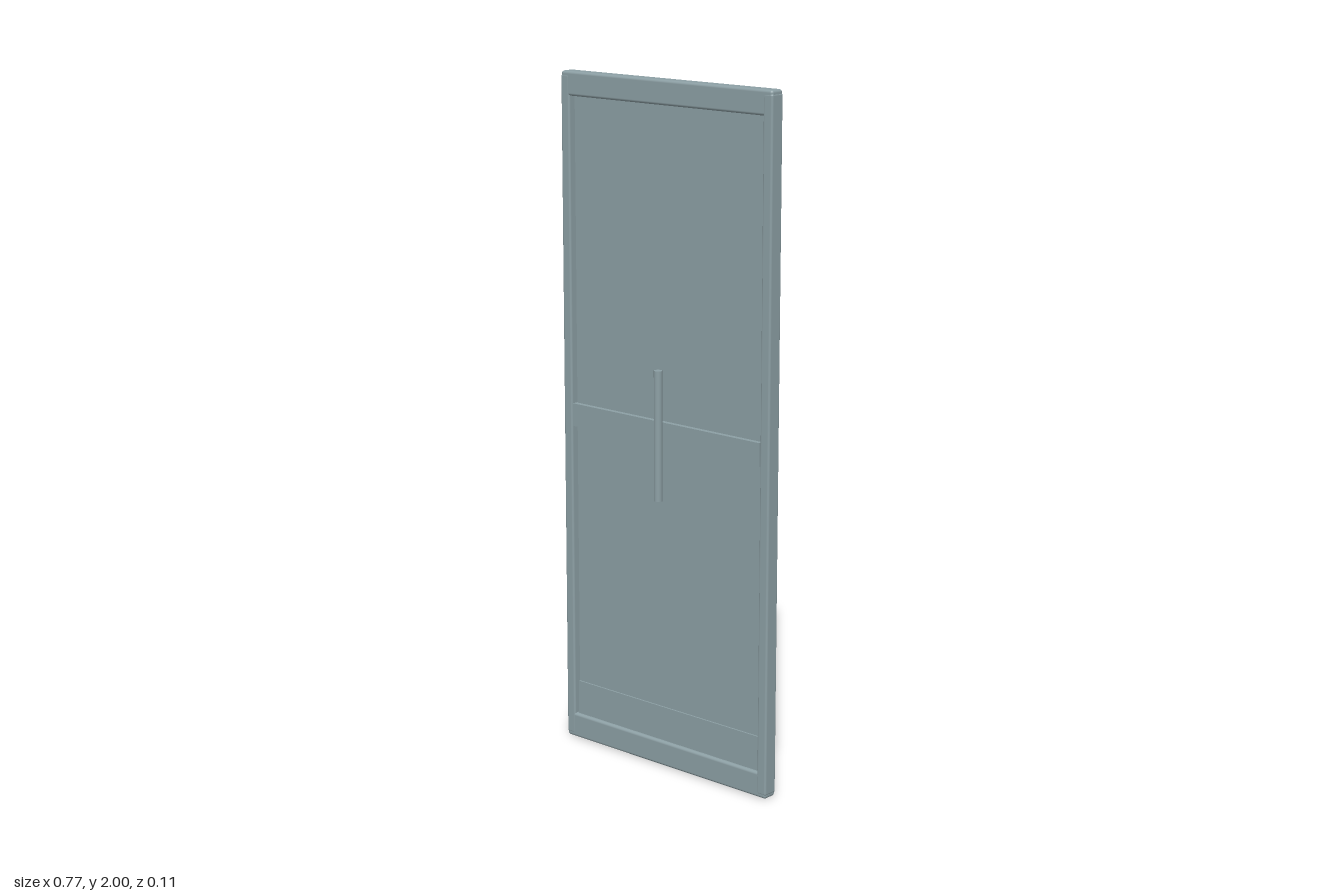
import * as THREE from 'three';
import { RoundedBoxGeometry } from 'three/addons/geometries/RoundedBoxGeometry.js';

export function createModel() {
  const model = new THREE.Group();
  model.name = 'door';
  const greyBlue = new THREE.MeshStandardMaterial({ color: 0x8c9fa4 });
  greyBlue.name = 'greyBlue';

  function add(name, geometry, x, y, z) {
    const mesh = new THREE.Mesh(geometry, greyBlue);
    mesh.name = name;
    mesh.position.set(x, y, z);
    model.add(mesh);
  }

  // Outer frame: two slim stiles, with deeper rails at top and bottom
  for (const [side, s] of [['left', 1], ['right', -1]]) {
    add(side + 'Stile', new RoundedBoxGeometry(0.032, 1.98, 0.046, 3, 0.006), s * 0.371, 1, 0);
  }
  add('topRail', new RoundedBoxGeometry(0.772, 0.07, 0.045, 3, 0.008), 0, 1.965, 0);
  add('bottomRail', new RoundedBoxGeometry(0.772, 0.075, 0.045, 3, 0.008), 0, 0.0375, 0);

  // Recessed panel, leaving a hairline gap beside each stile
  add('panel', new THREE.BoxGeometry(0.696, 1.875, 0.014), 0, 1.0, 0);

  // Middle rail on the front only
  add('middleRail', new THREE.BoxGeometry(0.704, 0.068, 0.018), 0, 1.002, 0.013);

  // Kick plates and pull bars on both faces
  for (const [face, s] of [['front', 1], ['back', -1]]) {
    add(face + 'KickPlate', new THREE.BoxGeometry(0.696, 0.105, 0.006), 0, 0.125, s * 0.009);
    add(face + 'Handle', new THREE.CylinderGeometry(0.012, 0.012, 0.38, 24), 0, 1, s * 0.043);
  }
  return model;
}
